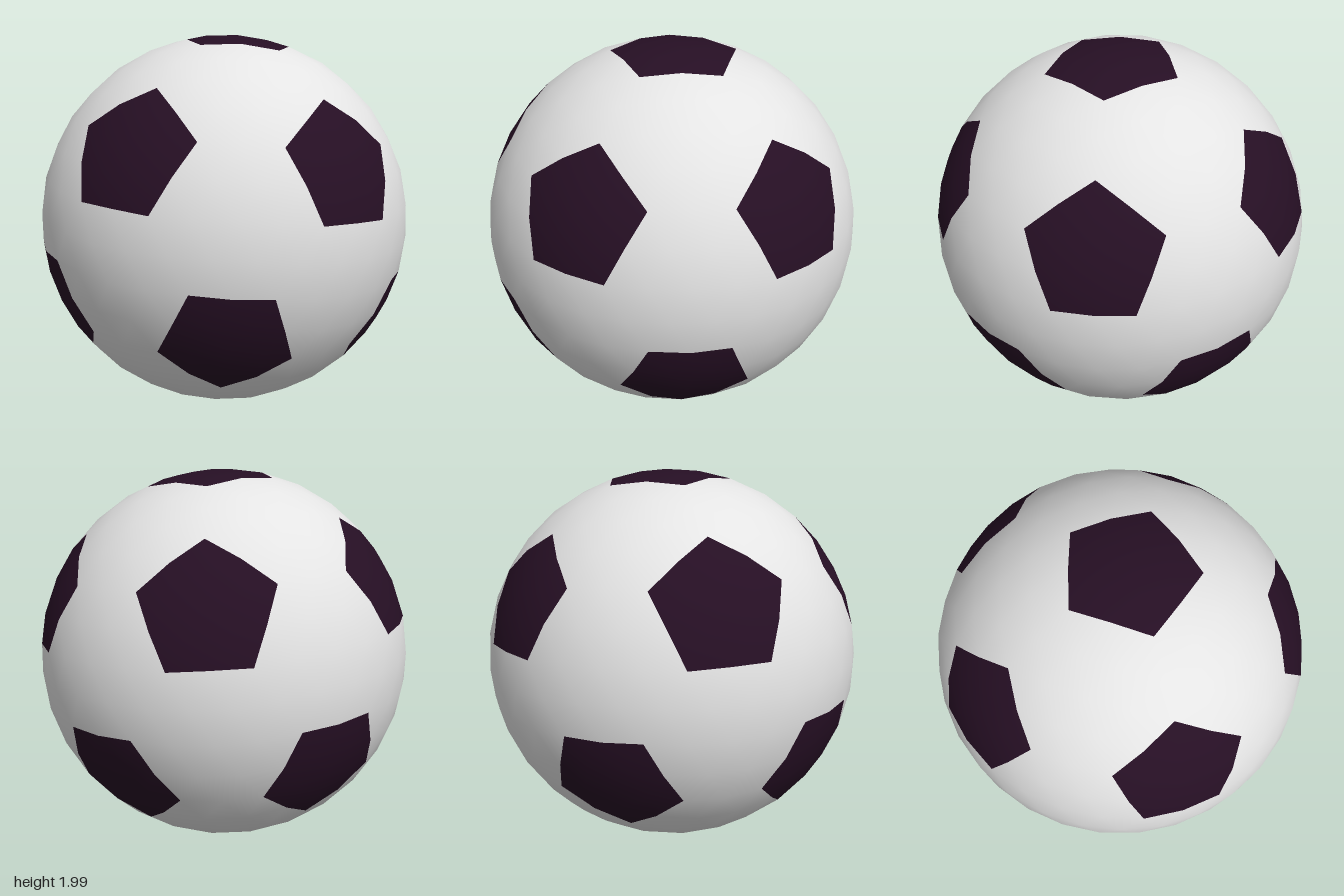
import * as THREE from 'three';

const RADIUS = 1;
const DIVISIONS = 2; // subdivisions of each panel wedge

// Twelve pentagon centres: a tilted pole, a ring of five around it, and their opposites
function pentagonCentres() {
  const pole = new THREE.Vector3(0.045, 0.998, 0.055).normalize();
  const e1 = new THREE.Vector3(-0.117, 0.406, 0.906);
  e1.addScaledVector(pole, -e1.dot(pole)).normalize();
  const e2 = new THREE.Vector3().crossVectors(pole, e1);
  const half = [pole];
  for (let k = 0; k < 5; k++) {
    const a = (k * Math.PI * 2) / 5;
    half.push(pole.clone().multiplyScalar(1 / Math.sqrt(5))
      .addScaledVector(e1, Math.cos(a) * 2 / Math.sqrt(5))
      .addScaledVector(e2, Math.sin(a) * 2 / Math.sqrt(5)));
  }
  return [...half, ...half.map((v) => v.clone().negate())];
}

// Sort corners counter-clockwise around an outward axis
function sortAround(axis, corners) {
  const u = corners[0].clone().addScaledVector(axis, -corners[0].dot(axis)).normalize();
  const v = new THREE.Vector3().crossVectors(axis, u);
  const angle = (p) => Math.atan2(p.dot(v), p.dot(u));
  return [...corners].sort((p, q) => angle(p) - angle(q));
}

// Curved panel: a fan of subdivided wedges pushed out to the sphere
function addPanel(out, centre, corners) {
  const ring = sortAround(centre, corners);
  ring.forEach((a, i) => {
    const b = ring[(i + 1) % ring.length];
    const at = (r, c) => centre.clone().multiplyScalar(DIVISIONS - r)
      .addScaledVector(a, r - c).addScaledVector(b, c).normalize();
    for (let r = 0; r < DIVISIONS; r++) {
      for (let c = 0; c <= r; c++) {
        out.push(at(r, c), at(r + 1, c), at(r + 1, c + 1));
        if (c < r) out.push(at(r, c), at(r + 1, c + 1), at(r, c + 1));
      }
    }
  });
}

function panelMesh(points, material, name) {
  const normals = new THREE.BufferGeometry().setFromPoints(points).getAttribute('position');
  const geometry = new THREE.BufferGeometry()
    .setFromPoints(points.map((p) => p.clone().multiplyScalar(RADIUS)));
  geometry.setAttribute('normal', normals); // smooth, radial
  const mesh = new THREE.Mesh(geometry, material);
  mesh.name = name;
  mesh.position.y = RADIUS;
  return mesh;
}

export function createModel() {
  const white = new THREE.MeshStandardMaterial({ color: 0xe4e4e4 });
  white.name = 'white leather';
  const dark = new THREE.MeshStandardMaterial({ color: 0x260f24 });
  dark.name = 'dark plum leather';

  const centres = pentagonCentres();
  const near = (a, b) => a !== b && a.dot(b) > 0.4;
  const corner = (a, b) => a.clone().multiplyScalar(2).add(b).normalize();
  const pentagons = [];
  const hexagons = [];

  centres.forEach((a, i) => {
    addPanel(pentagons, a, centres.filter((b) => near(a, b)).map((b) => corner(a, b)));
    // One hexagon between every three neighbouring pentagons
    for (let j = i + 1; j < 12; j++) {
      for (let k = j + 1; k < 12; k++) {
        const b = centres[j], c = centres[k];
        if (!near(a, b) || !near(b, c) || !near(a, c)) continue;
        const middle = a.clone().add(b).add(c).normalize();
        addPanel(hexagons, middle, [corner(a, b), corner(b, a), corner(b, c),
          corner(c, b), corner(c, a), corner(a, c)]);
      }
    }
  });

  const ball = new THREE.Group();
  ball.name = 'football';
  ball.add(panelMesh(hexagons, white, 'whiteHexagonPanels'));
  ball.add(panelMesh(pentagons, dark, 'darkPentagonPanels'));
  return ball;
}
